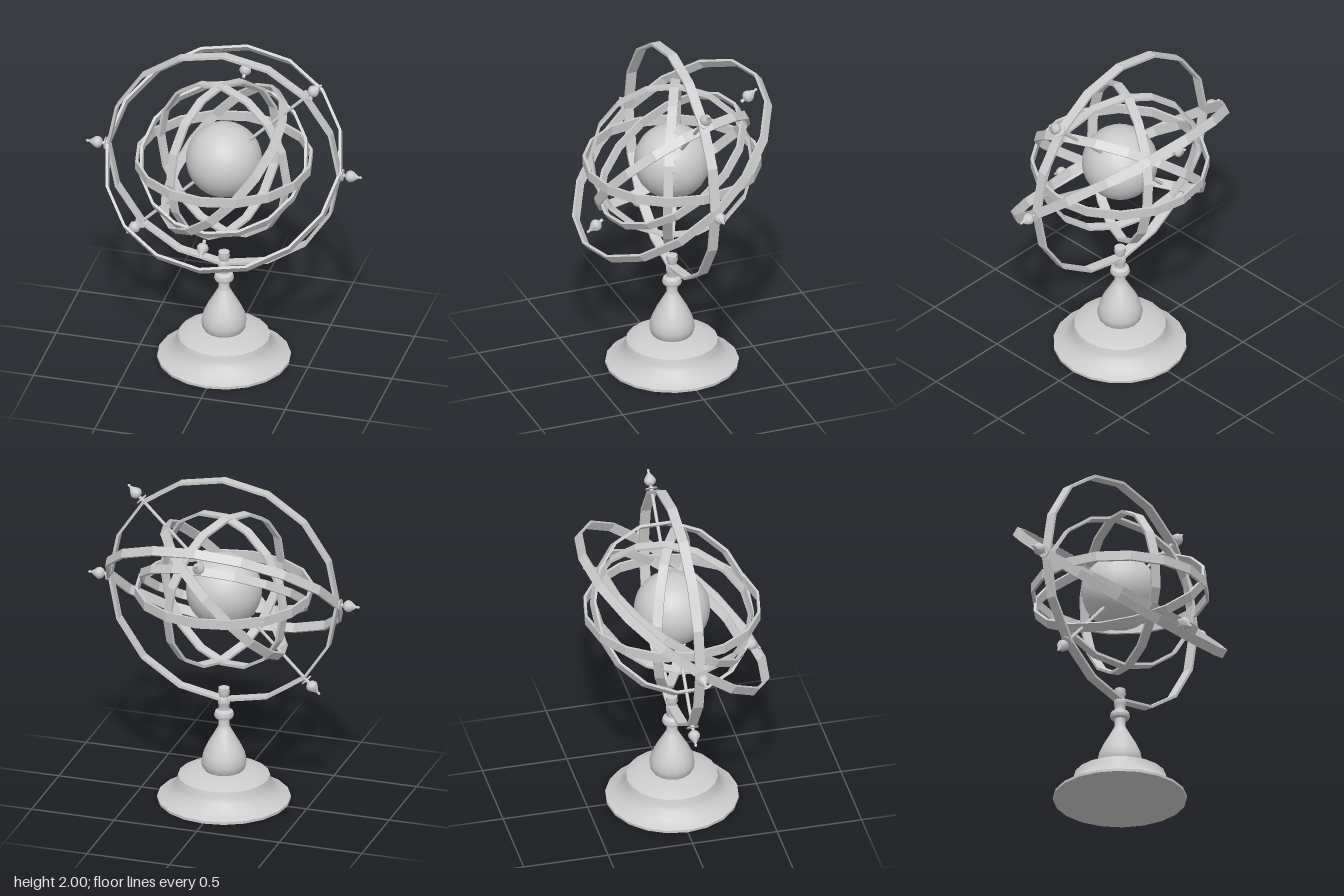
import * as THREE from 'three';
import { toCreasedNormals } from 'three/addons/utils/BufferGeometryUtils.js';

const SIDES = 16;
const CENTRE_Y = 1.31;
const UP = new THREE.Vector3(0, 1, 0);
const smooth = new THREE.MeshStandardMaterial({ color: 0xcccccc });
const faceted = new THREE.MeshStandardMaterial({ color: 0xcccccc, flatShading: true });
const vec = (x, y, z) => new THREE.Vector3(x, y, z).normalize();

function turned(name, profile, sides = SIDES, crease = 0.7) {
  const points = profile.map(([r, y]) => new THREE.Vector2(r, y));
  const geometry = toCreasedNormals(new THREE.LatheGeometry(points, sides), crease);
  const mesh = new THREE.Mesh(geometry, smooth);
  mesh.name = name;
  return mesh;
}

// Flat band bent into a polygonal hoop, square to the given normal
function ring(name, radius, width, normal, thickness = 0.016) {
  const a = radius - thickness, b = radius, h = width / 2;
  const points = [[a, -h], [b, -h], [b, h], [a, h], [a, -h]].map(([r, y]) => new THREE.Vector2(r, y));
  const mesh = new THREE.Mesh(new THREE.LatheGeometry(points, SIDES), faceted);
  mesh.name = name;
  mesh.quaternion.setFromUnitVectors(UP, normal);
  return mesh;
}

// Drop-shaped finial pointing outwards along a direction
function finial(name, direction, start, withCollar) {
  const group = new THREE.Group();
  group.name = name;
  group.add(turned('drop', [
    [0, 0], [0.01, 0], [0.01, 0.02], [0.027, 0.03], [0.036, 0.047], [0.031, 0.065],
    [0.016, 0.085], [0.006, 0.1], [0.009, 0.108], [0.006, 0.117], [0, 0.12],
  ], 10, 1));
  if (withCollar) {
    group.add(turned('collar', [[0, 0], [0.036, 0], [0.036, 0.006], [0, 0.006]], 12));
  }
  group.quaternion.setFromUnitVectors(UP, direction);
  group.position.copy(direction).multiplyScalar(start);
  return group;
}

export function createModel() {
  const model = new THREE.Group();
  model.name = 'armillarySphere';

  // Stepped foot and turned stem
  model.add(turned('base', [
    [0, 0], [0.385, 0], [0.385, 0.016], [0.365, 0.026], [0.32, 0.05], [0.287, 0.085],
    [0.275, 0.115], [0.265, 0.15], [0.25, 0.158], [0.18, 0.185], [0, 0.19],
  ], 20));
  model.add(turned('stem', [
    [0.11, 0.18], [0.126, 0.205], [0.131, 0.24], [0.12, 0.29], [0.092, 0.35], [0.06, 0.405],
    [0.038, 0.445], [0.031, 0.46], [0.031, 0.505], [0.052, 0.51], [0.058, 0.525], [0.052, 0.548],
    [0.032, 0.56], [0.032, 0.59], [0.035, 0.595], [0.035, 0.625], [0.025, 0.64], [0.034, 0.665],
    [0.032, 0.695], [0, 0.7],
  ]));

  const sphere = new THREE.Group();
  sphere.name = 'ringsAndGlobe';
  sphere.position.y = CENTRE_Y;
  model.add(sphere);

  const globe = new THREE.Mesh(new THREE.SphereGeometry(0.22, 24, 16), smooth);
  globe.name = 'globe';
  sphere.add(globe);

  // Fixed outer hoops
  const tilt = THREE.MathUtils.degToRad(40);
  sphere.add(ring('meridianRing', 0.695, 0.058, vec(0, 0, 1)));
  sphere.add(ring('horizonRing', 0.515, 0.058, UP));
  sphere.add(ring('outerTiltedRing', 0.7, 0.055, vec(0, Math.cos(tilt), Math.sin(tilt))));

  // Inner hoops
  const innerTilt = THREE.MathUtils.degToRad(35);
  sphere.add(ring('innerTiltedRing', 0.495, 0.05, vec(0, Math.cos(innerTilt), Math.sin(innerTilt))));
  sphere.add(ring('diagonalRing', 0.51, 0.055, vec(0.68, -0.68, -0.27)));
  const pole = vec(-0.07, 1, -0.06);
  [['uprightRingA', vec(0.91, 0, 0.41)], ['uprightRingB', vec(-0.44, 0, 0.9)]].forEach(([name, along]) => {
    sphere.add(ring(name, 0.475, 0.055, along.clone().cross(pole).normalize()));
  });

  // Slanted axle
  const axis = vec(1, 1, 0);
  const axle = new THREE.Mesh(new THREE.CylinderGeometry(0.01, 0.01, 1.42, 8), smooth);
  axle.name = 'axle';
  axle.quaternion.setFromUnitVectors(UP, axis);
  sphere.add(axle);

  // Opposite pairs of finials
  for (const s of [1, -1]) {
    const side = s > 0 ? 'Upper' : 'Lower';
    sphere.add(finial('axleFinial' + side, axis.clone().multiplyScalar(s), 0.703, true));
    sphere.add(finial(s > 0 ? 'finialLeft' : 'finialRight', vec(s, 0, 0), 0.703, true));
    const back = vec(0, Math.sin(innerTilt) * s, -Math.cos(innerTilt) * s);
    sphere.add(finial(s > 0 ? 'finialBack' : 'finialFront', back, 0.51 - 0.018, false));
    sphere.children.at(-1).position.addScaledVector(back, 0.03);
  }
  return model;
}
